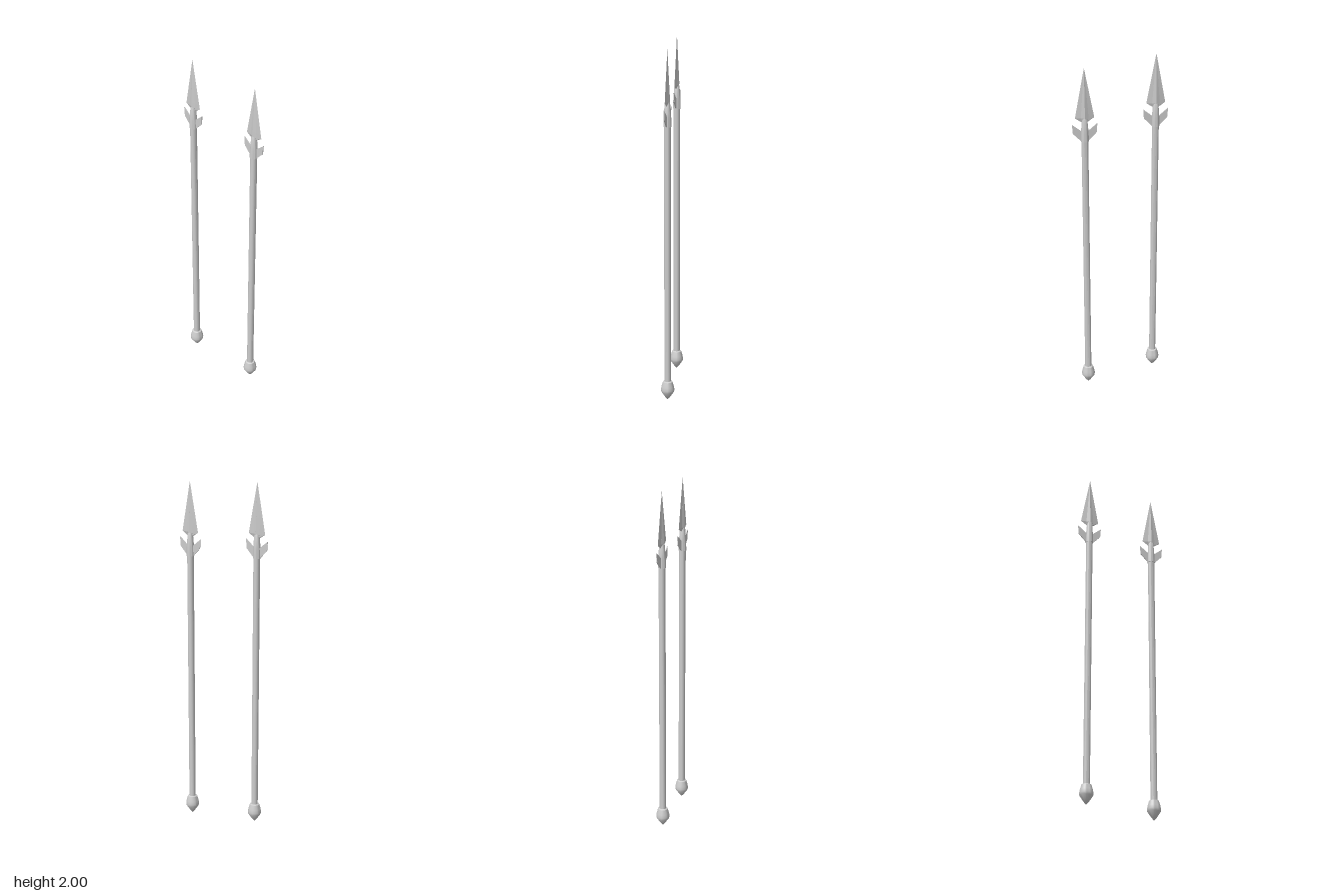
import * as THREE from 'three';
import { toCreasedNormals } from 'three/addons/utils/BufferGeometryUtils.js';

const material = new THREE.MeshStandardMaterial({ color: 0xcccccc, side: THREE.DoubleSide });

function addPart(parent, name, geometry) {
  const mesh = new THREE.Mesh(geometry, material);
  mesh.name = name;
  parent.add(mesh);
  return mesh;
}

// Turned part from [radius, height] pairs, bottom to top
function turned(profile, sides = 24) {
  const points = profile.map(([r, y]) => new THREE.Vector2(r, y));
  return toCreasedNormals(new THREE.LatheGeometry(points, sides), 0.6);
}

// Blade: star-like cross-sections with a raised central ridge
function bladeGeometry() {
  const sections = [ // height, half width (z), half thickness (x)
    [1.668, 0.016, 0.012],
    [1.692, 0.052, 0.013],
    [1.97, 0.0005, 0.0005],
  ];
  const outline = [[0, 1], [0.4, 0.4], [1, 0], [0.4, -0.4], [0, -1], [-0.4, -0.4], [-1, 0], [-0.4, 0.4]];
  const n = outline.length;
  const positions = [];
  const indices = [];
  for (const [y, w, t] of sections) {
    for (const [x, z] of outline) positions.push(x * t, y, z * w);
  }
  for (let s = 0; s < sections.length - 1; s++) {
    for (let i = 0; i < n; i++) {
      const a = s * n + i;
      const b = s * n + (i + 1) % n;
      indices.push(a, b, b + n, a, b + n, a + n);
    }
  }
  for (let i = 1; i < n - 1; i++) { // end caps
    const top = (sections.length - 1) * n;
    indices.push(0, i + 1, i, top, top + i, top + i + 1);
  }
  const geometry = new THREE.BufferGeometry();
  geometry.setAttribute('position', new THREE.Float32BufferAttribute(positions, 3));
  geometry.setIndex(indices);
  return toCreasedNormals(geometry, 0.15);
}

// Swept-up barb, drawn outward and upward, then turned into the blade's plane
function barbGeometry() {
  const shape = new THREE.Shape([
    [0.008, 1.56], [0.021, 1.56], [0.064, 1.605], [0.068, 1.657], [0.021, 1.618], [0.008, 1.61],
  ].map(([x, y]) => new THREE.Vector2(x, y)));
  const thickness = 0.005;
  return new THREE.ExtrudeGeometry(shape, { depth: thickness, bevelEnabled: false })
    .translate(0, 0, -thickness / 2)
    .rotateY(-Math.PI / 2);
}

function createSpear(name) {
  const spear = new THREE.Group();
  spear.name = name;
  addPart(spear, 'shaft', turned([[0.0185, 0.1], [0.0185, 1.57]], 16));
  addPart(spear, 'pommel', turned([
    [0, 0], [0.014, 0.016], [0.0365, 0.05], [0.038, 0.062], [0.035, 0.08], [0.027, 0.108], [0.018, 0.112],
  ]));
  // Tapered socket holding the head
  addPart(spear, 'socket', turned([
    [0.0185, 1.558], [0.0215, 1.558], [0.0205, 1.605], [0.015, 1.68], [0.009, 1.7], [0, 1.705],
  ]));
  addPart(spear, 'blade', bladeGeometry());
  for (const side of [0, 1]) {
    addPart(spear, side ? 'backBarb' : 'frontBarb', barbGeometry()).rotation.y = side * Math.PI;
  }
  spear.rotation.y = -0.068;
  return spear;
}

export function createModel() {
  const model = new THREE.Group();
  model.name = 'spearPair';
  const front = createSpear('frontSpear');
  front.position.set(0.015, 0, 0.2);
  const back = createSpear('backSpear');
  back.position.set(-0.015, 0.03, -0.2);
  model.add(front, back);
  return model;
}
